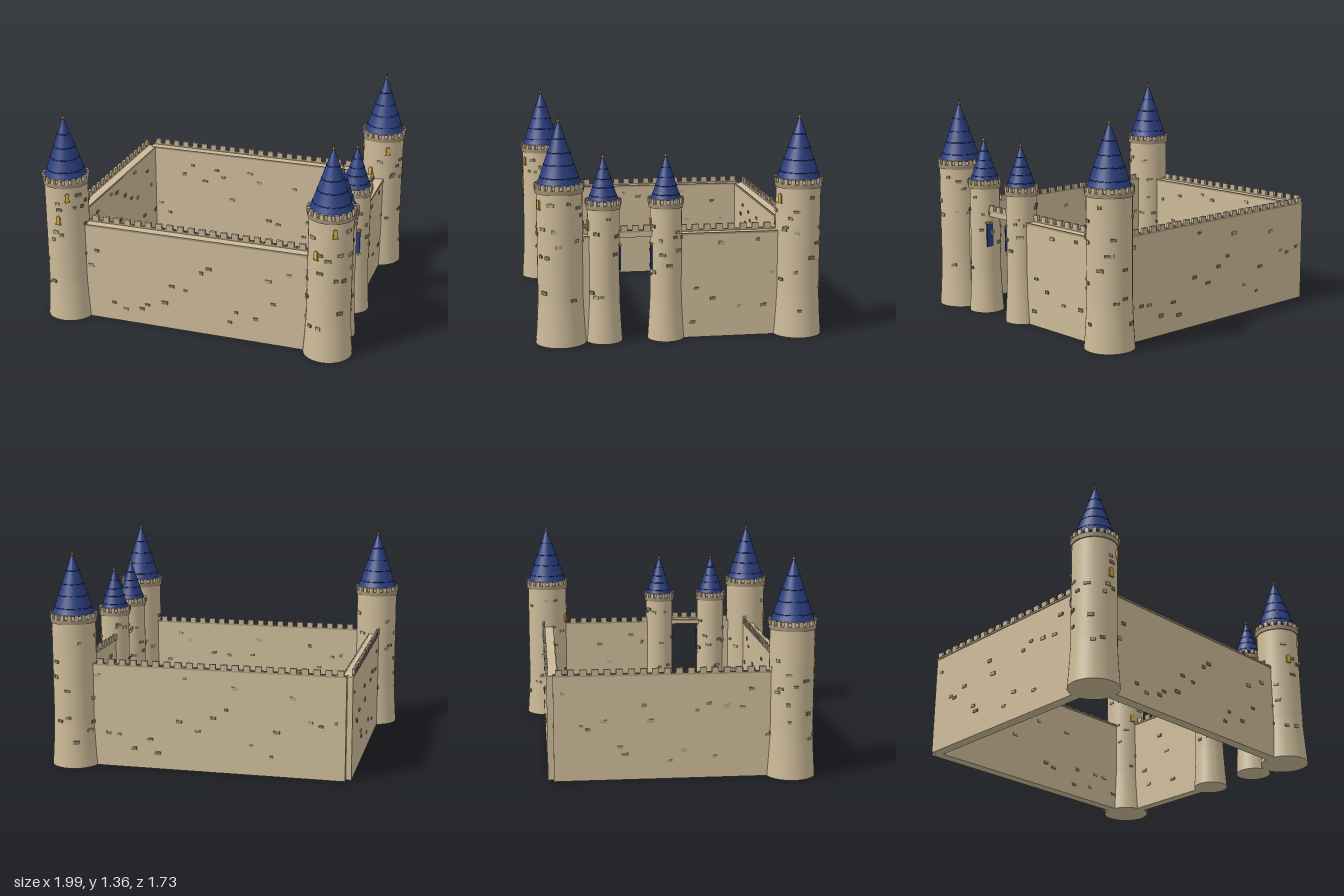
import * as THREE from 'three';

const mat = (name, color) => Object.assign(new THREE.MeshStandardMaterial({ color }), { name });
const M = {
  stone: mat('sandstone', 0xcdbb99),
  trim: mat('trim stone', 0xa8977a),
  merlon: mat('merlon stone', 0xc2b193),
  brick: mat('dark brick', 0x8a7a62),
  paleBrick: mat('pale brick', 0xb5a486),
  roof: mat('blue roof', 0x2a3f80),
  roofBand: mat('roof band', 0x1e2c5c),
  gold: mat('gold', 0xc09630),
  glass: mat('amber glass', 0xd8ae48),
};

// Small seeded generator for brick placement
let seed = 7;
const rnd = () => (seed = (seed * 16807) % 2147483647) / 2147483647;
const range = (a, b) => a + (b - a) * rnd();

function add(parent, name, geometry, material, x = 0, y = 0, z = 0) {
  const mesh = new THREE.Mesh(geometry, material);
  mesh.name = name;
  mesh.position.set(x, y, z);
  parent.add(mesh);
  return mesh;
}
const box = (w, h, d) => new THREE.BoxGeometry(w, h, d);
const lathe = (pts) => new THREE.LatheGeometry(pts.map(([r, y]) => new THREE.Vector2(r, y)), 40);

// Thin stone facing outward along its own +z
const addBrick = (parent, x, y, z, turn = 0) => {
  const b = add(parent, 'brick', box(range(0.022, 0.042), range(0.014, 0.022), 0.012),
    rnd() < 0.65 ? M.brick : M.paleBrick, x, y, z);
  b.rotation.y = turn;
};

// Wall along local x with merlons on the local -z edge
function makeWall(name, length, y0, y1, bricks) {
  const g = new THREE.Group();
  g.name = name;
  const depth = 0.066;
  add(g, 'wallBody', box(length, y1 - y0, depth), M.stone, 0, (y0 + y1) / 2, 0);
  add(g, 'coping', box(length, 0.012, 0.014), M.trim, 0, y1 + 0.006, -depth / 2 + 0.002);
  add(g, 'copingOuter', box(length, 0.012, 0.008), M.trim, 0, y1 - 0.004, depth / 2);
  const count = Math.max(1, Math.round(length / 0.07));
  for (let i = 0; i < count; i++) {
    const x = -length / 2 + (i + 0.5) * length / count;
    add(g, 'merlon', box(0.04, 0.032, 0.018), M.merlon, x, y1 + 0.026, -depth / 2 + 0.002);
  }
  for (const side of [-1, 1]) {
    for (let i = 0; i < bricks; i++) {
      const x = (i + range(0.1, 0.9)) / bricks - 0.5;
      addBrick(g, x * length * 0.97, range(0.08, 0.59), side * depth / 2);
    }
  }
  return g;
}

// Arched window facing +z
function makeWindow() {
  const g = new THREE.Group();
  g.name = 'window';
  const arch = (w, h) => {
    const s = new THREE.Shape();
    s.moveTo(-w, 0);
    s.lineTo(w, 0);
    s.lineTo(w, h);
    s.absarc(0, h, w, 0, Math.PI, false);
    return s;
  };
  const opts = { depth: 0.012, bevelEnabled: false, curveSegments: 8 };
  add(g, 'windowFrame', new THREE.ExtrudeGeometry(arch(0.013, 0.042), opts), M.gold, 0, 0, -0.004);
  add(g, 'windowGlass', new THREE.ShapeGeometry(arch(0.008, 0.036)), M.glass, 0, 0.006, 0.009);
  add(g, 'windowSill', box(0.034, 0.008, 0.018), M.gold);
  return g;
}

// Round tower: s = { foot, r, top, roofR, roofH, tip, count }
function makeTower(name, s, windows, bricks) {
  const g = new THREE.Group();
  g.name = name;
  const { foot, r, top, roofR, roofH, tip, count } = s;
  const down = (radius, y, material, label) => {
    add(g, label, new THREE.CircleGeometry(radius, 40), material, 0, y, 0).rotation.x = Math.PI / 2;
  };
  add(g, 'shaft', lathe([[foot, 0], [foot - (foot - r) * 0.45, 0.1], [r + 0.001, 0.24], [r, 0.3], [r, top]]), M.stone);
  down(foot, 0, M.stone, 'shaftBase');

  // Parapet ring and its merlons
  const ringR = r + 0.011;
  add(g, 'parapetRing', new THREE.CylinderGeometry(ringR, ringR - 0.004, 0.028, 40), M.trim, 0, top + 0.012, 0);
  for (let i = 0; i < count; i++) {
    const a = (i + 0.5) / count * Math.PI * 2;
    const m = add(g, 'parapetMerlon', box(ringR * 3.4 / count, 0.03, 0.018), M.merlon,
      Math.sin(a) * (ringR - 0.007), top + 0.04, Math.cos(a) * (ringR - 0.007));
    m.rotation.y = a;
  }

  // Flared roof, raised bands and finial
  const y0 = top + 0.046;
  const profile = [[1, 0], [0.86, 0.12], [0.68, 0.32], [0.5, 0.51], [0.3, 0.73], [0.14, 0.89], [0.02, 1]];
  add(g, 'roof', lathe(profile.map(([a, b]) => [a * roofR, b * roofH])), M.roof, 0, y0, 0);
  down(roofR, y0, M.roof, 'roofUnderside');
  for (const [a, b] of profile.slice(1, 5)) {
    const band = add(g, 'roofBand', new THREE.TorusGeometry(a * roofR, 0.0028, 5, 36), M.roofBand, 0, y0 + b * roofH, 0);
    band.rotation.x = Math.PI / 2;
  }
  const peak = y0 + roofH;
  add(g, 'finialBall', new THREE.SphereGeometry(0.008, 12, 8), M.gold, 0, peak, 0);
  add(g, 'finialSpike', new THREE.ConeGeometry(0.005, tip - peak, 8), M.gold, 0, (tip + peak) / 2, 0);

  // Windows given as [angle from front, sill height]
  for (const [a, y] of windows) {
    const w = makeWindow();
    w.position.set(Math.sin(a) * r, y, Math.cos(a) * r);
    w.rotation.y = a;
    g.add(w);
  }
  for (let i = 0; i < bricks; i++) {
    const a = i * 2.4 + range(0, 0.6), y = range(0.16, top - 0.05);
    const br = r + Math.max(0, 0.27 - y) * (foot - r) / 0.3;
    addBrick(g, Math.sin(a) * br, y, Math.cos(a) * br, a);
  }
  return g;
}

export function createModel() {
  const castle = new THREE.Group();
  castle.name = 'castle';
  const place = (part, x, z, turn = 0) => {
    part.position.set(x, 0, z);
    part.rotation.y = turn;
    castle.add(part);
  };
  const X = 0.847, Z = 0.713, Q = Math.PI / 2;

  // Corner towers
  const big = { foot: 0.15, r: 0.134, top: 0.9, roofR: 0.132, roofH: 0.365, tip: 1.36, count: 20 };
  place(makeTower('frontRightTower', big, [[0.46, 0.81], [0, 0.66]], 30), -X, Z);
  place(makeTower('frontLeftTower', big, [[0.43, 0.81], [-0.42, 0.66]], 30), X, Z);
  place(makeTower('backLeftTower', big, [[0.43, 0.81], [-0.42, 0.66]], 30), X, -Z);

  // Gate towers
  const small = { foot: 0.109, r: 0.094, top: 0.797, roofR: 0.092, roofH: 0.255, tip: 1.14, count: 16 };
  place(makeTower('gateTowerFront', small, [[0.2, 0.68]], 20), X, 0.457);
  place(makeTower('gateTowerBack', small, [[0.2, 0.68]], 20), X, 0.087);

  // Curtain walls
  place(makeWall('frontWall', 1.69, 0, 0.635, 20), 0, Z);
  place(makeWall('backWall', 1.694, 0, 0.635, 20), 0, -Z);
  place(makeWall('rightWall', 1.42, 0, 0.635, 18), -X, 0, Q);
  place(makeWall('leftWall', 0.8, 0, 0.635, 10), X, -0.313, Q);
  place(makeWall('leftWallShort', 0.25, 0, 0.635, 0), X, 0.585, Q);
  place(makeWall('gateBridge', 0.2, 0.622, 0.652, 0), X, 0.272, -Q);

  // Banners hung from gold rods on the facing sides of the gate towers
  for (const z of [0.18, 0.366]) {
    add(castle, 'banner', box(0.045, 0.15, 0.009), M.roof, X + 0.035, 0.505, z);
    add(castle, 'bannerRod', box(0.055, 0.01, 0.014), M.gold, X + 0.035, 0.583, z);
  }
  return castle;
}
